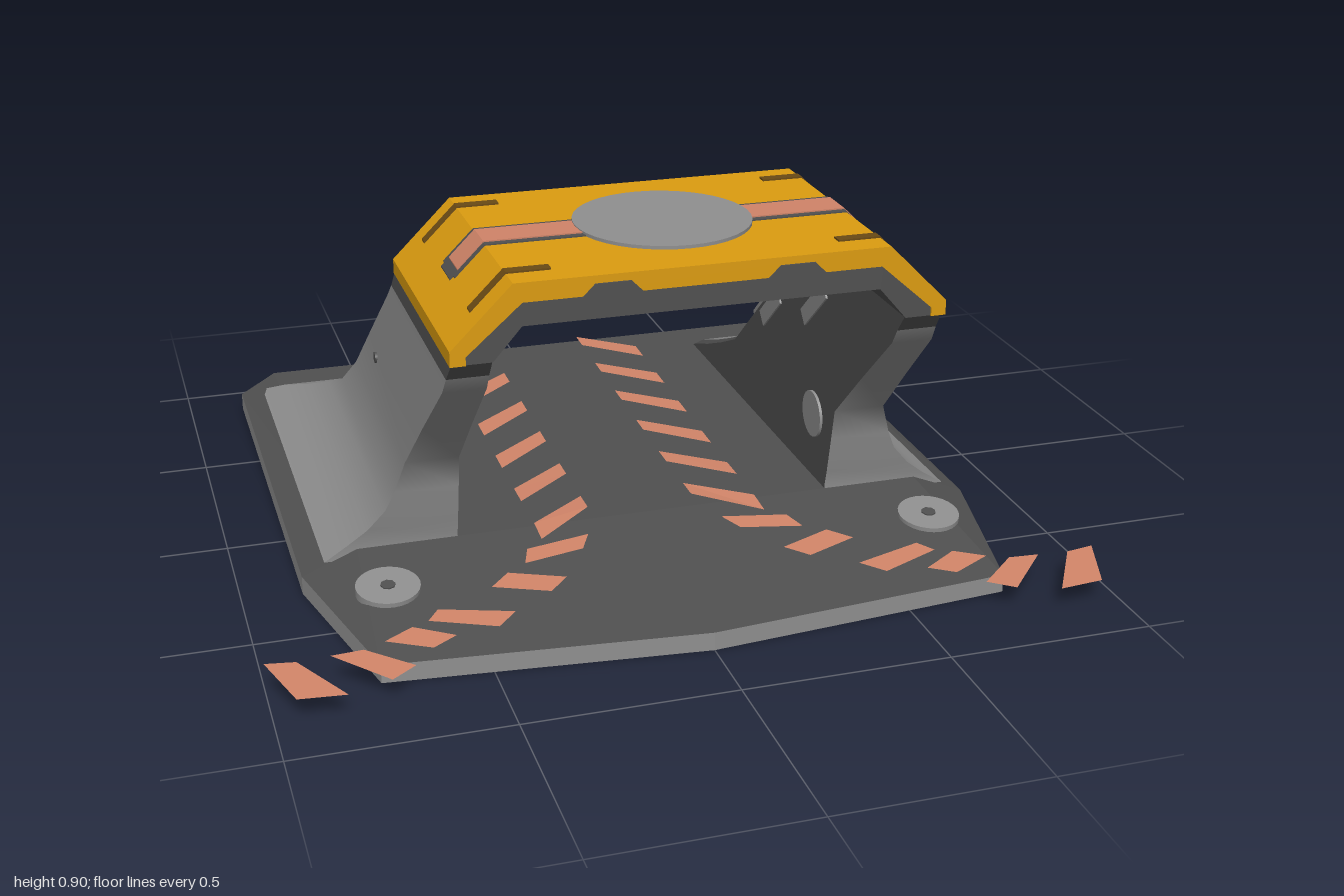
import * as THREE from 'three';

const mat = (name, color, side = THREE.FrontSide) => {
  const m = new THREE.MeshStandardMaterial({ color, side });
  m.name = name;
  return m;
};

export function createModel() {
  const root = new THREE.Group();
  const gray = mat('light grey', 0x8f8f8f, THREE.DoubleSide);
  const dark = mat('dark grey', 0x505050, THREE.DoubleSide);
  const yellow = mat('amber', 0xdc9c10);
  const salmon = mat('salmon', 0xd08468, THREE.DoubleSide);
  const brown = mat('brown', 0x6a4a14);

  const add = (name, geo, material, parent = root) => {
    const m = new THREE.Mesh(geo, material);
    m.name = name;
    parent.add(m);
    return m;
  };
  // Separate flat polygons, each a convex list of [x, y, z]
  const faces = polys => {
    const p = [];
    for (const f of polys)
      for (let i = 1; i < f.length - 1; i++) p.push(...f[0], ...f[i], ...f[i + 1]);
    const g = new THREE.BufferGeometry();
    g.setAttribute('position', new THREE.Float32BufferAttribute(p, 3));
    g.computeVertexNormals();
    return g;
  };
  // Smooth strip between two rails of equal length
  const strip = (a, b) => {
    const idx = [];
    for (let i = 0; i < a.length - 1; i++) {
      const n = a.length + i;
      idx.push(i, n, i + 1, i + 1, n, n + 1);
    }
    const g = new THREE.BufferGeometry();
    g.setAttribute('position', new THREE.Float32BufferAttribute([...a, ...b].flat(), 3));
    g.setIndex(idx);
    g.computeVertexNormals();
    return g;
  };
  const shapeOf = pts => new THREE.Shape(pts.map(p => new THREE.Vector2(...p)));
  const extrudeZ = (shape, z0, z1) =>
    new THREE.ExtrudeGeometry(shape, { depth: z1 - z0, bevelEnabled: false }).translate(0, 0, z0);

  // ---- Base: open-bottomed rim and sloping deck ----
  const outline = [[-0.855, -0.88], [-0.855, 0.29], [-0.75, 0.75], [0, 0.82],
    [0.75, 0.75], [0.855, 0.29], [0.855, -0.88]];
  const rim = shapeOf(outline.map(([x, z]) => [x, -z]));
  rim.holes.push(new THREE.Path(outline.map(([x, z]) => new THREE.Vector2(x * 0.96, -z * 0.96))));
  add('baseRim', extrudeZ(rim, 0, 0.045).rotateX(-Math.PI / 2), gray);

  const o = outline.map(([x, z]) => [x, 0.045, z]);
  const top = 0.1;
  const lb = [-0.76, top, -0.88], lf = [-0.72, top, 0.29], rf = [0.72, top, 0.29], rb = [0.76, top, -0.88];
  add('deckSlopes', faces([
    [o[0], o[1], lf, lb], [o[1], o[2], lf], [o[2], o[3], lf], [lf, o[3], rf],
    [o[3], o[4], rf], [o[4], o[5], rf], [o[5], o[6], rb, rf], [o[6], o[0], lb, rb],
  ]), dark);
  const deck = shapeOf([lb, lf, rf, rb].map(p => [p[0], -p[2]]));
  for (const s of [-1, 1]) {
    deck.holes.push(new THREE.Path([[0.52, 0.76], [0.7, 0.76], [0.62, 0.05], [0.52, 0.05]]
      .map(([x, y]) => new THREE.Vector2(s * x, y))));
  }
  add('deckTop', new THREE.ShapeGeometry(deck).rotateX(-Math.PI / 2).translate(0, top, 0), dark);

  // ---- Legs: [y, front z, back z, outer x] ----
  const levels = [[0.075, 0.29, -0.83, 0.8], [0.11, 0.29, -0.76, 0.745], [0.15, 0.3, -0.65, 0.695],
    [0.2, 0.31, -0.53, 0.652], [0.25, 0.32, -0.42, 0.63], [0.33, 0.335, -0.33, 0.605],
    [0.48, 0.49, -0.16, 0.59], [0.63, 0.65, 0.01, 0.574], [0.67, 0.675, 0.05, 0.57], [0.715, 0.71, 0.08, 0.565]];
  const slope = Math.atan2(0.39, 0.44);
  for (const s of [1, -1]) {
    const leg = new THREE.Group();
    leg.name = s > 0 ? 'leftLeg' : 'rightLeg';
    root.add(leg);
    // rails: inner front, outer front, outer back, back trim, inner back
    const rails = [
      l => [0.475, l[1]], l => [l[3], l[1]], l => [l[3], l[2]], l => [0.51, l[2]], l => [0.475, l[2] + 0.025],
    ].map(f => levels.map(l => { const [x, z] = f(l); return [s * x, l[0], z]; }));
    const names = ['legFront', 'legOuter', 'legBack', 'legEdgeTrim', 'legInner'];
    names.forEach((n, i) => {
      let a = rails[i], b = rails[(i + 1) % 5];
      if (s < 0) [a, b] = [b, a];
      if (i < 3) {
        add(n, strip(a.slice(0, 9), b.slice(0, 9)), gray, leg);
        add(n + 'Collar', strip(a.slice(8), b.slice(8)), dark, leg);
      } else add(n, strip(a, b), dark, leg);
    });
    // light pads on the edge trim and inner wall
    const pad = (name, x, y, z, w, h, len) => {
      const m = add(name, new THREE.BoxGeometry(w, h, len), gray, leg);
      m.position.set(s * x, y, z);
      m.rotation.x = -slope;
    };
    pad('edgePad', 0.497, 0.487, -0.13, 0.03, 0.03, 0.36);
    pad('innerPadLow', 0.474, 0.445, -0.12, 0.008, 0.045, 0.16);
    pad('innerPadHigh', 0.474, 0.56, 0.18, 0.008, 0.045, 0.18);
    const disc = add('innerDisc', new THREE.CylinderGeometry(0.06, 0.06, 0.01, 24), gray, leg);
    disc.rotation.z = Math.PI / 2;
    disc.position.set(s * 0.473, 0.27, 0.2);
    const dot = add('outerDot', new THREE.CylinderGeometry(0.014, 0.014, 0.01, 12), dark, leg);
    dot.rotation.z = Math.PI / 2;
    dot.position.set(s * 0.594, 0.44, -0.07);

    // deck disc in front of the foot
    const foot = new THREE.Group();
    foot.name = 'deckDisc';
    foot.position.set(s * 0.68, 0.08, 0.47);
    foot.rotation.x = 0.115;
    root.add(foot);
    add('discPlate', new THREE.CylinderGeometry(0.076, 0.076, 0.02, 28), gray, foot);
    add('discCentre', new THREE.CylinderGeometry(0.018, 0.018, 0.026, 8), dark, foot);
  }

  // ---- Arch: amber shell over a dark liner ----
  const mirror = half => half.map(([x, y]) => [-x, y]);
  const arch = (outer, inner) => shapeOf([
    ...outer, ...mirror(outer).reverse(), ...mirror(inner), ...[...inner].reverse()]);
  add('archShell', extrudeZ(arch([[0.57, 0.715], [0.57, 0.75], [0.43, 0.89]],
    [[0.535, 0.715], [0.535, 0.735], [0.41, 0.845]]), 0.09, 0.72), yellow);
  add('archLiner', extrudeZ(arch([[0.56, 0.715], [0.545, 0.74], [0.415, 0.85]],
    [[0.475, 0.715], [0.41, 0.79]]), 0.095, 0.715), dark);
  for (const s of [-1, 1]) {
    const notch = shapeOf([[-0.07, 0], [0.07, 0], [0.04, 0.03], [-0.04, 0.03]]);
    add('frontNotch', extrudeZ(notch, 0.716, 0.724).translate(s * 0.21, 0.842, 0), dark);
  }

  // Thin plates that follow the arch top
  const ribbon = (name, xa, xb, z0, z1, lift, material) => {
    const xs = [xa, ...[-0.43, 0.43].filter(x => x > xa && x < xb), xb];
    const y = x => 0.89 - Math.max(0, Math.abs(x) - 0.43) + lift;
    const pts = [...xs.map(x => [x, y(x) - lift - 0.002]), ...xs.reverse().map(x => [x, y(x)])];
    add(name, extrudeZ(shapeOf(pts), z0, z1), material);
  };
  ribbon('barBorder', -0.5, 0.5, 0.342, 0.462, 0.003, dark);
  ribbon('barBorderEnds', -0.508, 0.508, 0.355, 0.449, 0.003, dark);
  ribbon('bar', -0.49, 0.49, 0.358, 0.446, 0.006, salmon);
  for (const z of [0.148, 0.63]) {
    ribbon('slot', 0.33, 0.51, z, z + 0.027, 0.004, brown);
    ribbon('slot', -0.51, -0.33, z, z + 0.027, 0.004, brown);
  }
  add('topDisc', new THREE.CylinderGeometry(0.207, 0.207, 0.009, 40).translate(0, 0.8935, 0.4), gray);

  // ---- Guide stripes: straight run, then fanning outwards ----
  const quads = [];
  for (let i = 0; i < 6; i++) {
    const z = -0.84 + i * 0.203;
    quads.push([[0.135, z], [0.135, z + 0.065], [0.285, z + 0.19], [0.285, z + 0.115]]);
  }
  quads.push(
    [[0.17, 0.37], [0.2, 0.43], [0.35, 0.46], [0.33, 0.4]],
    [[0.27, 0.54], [0.32, 0.59], [0.45, 0.54], [0.4, 0.49]],
    [[0.42, 0.65], [0.47, 0.7], [0.62, 0.64], [0.59, 0.6]],
    [[0.57, 0.71], [0.63, 0.745], [0.73, 0.695], [0.66, 0.655]],
    [[0.68, 0.8], [0.74, 0.84], [0.855, 0.72], [0.78, 0.715]],
    [[0.84, 0.87], [0.95, 0.86], [1, 0.715], [0.93, 0.725]]);
  const height = z => (z < 0 ? 0.108 - 0.025 * z : 0.108 - 0.09 * Math.max(0, z - 0.29));
  for (const s of [-1, 1]) {
    const polys = quads.map(q => {
      const f = q.map(([x, z]) => [s * x, height(z), z]);
      return s > 0 ? f : f.reverse();
    });
    add(s > 0 ? 'leftStripes' : 'rightStripes', faces(polys), salmon);
  }
  return root;
}
